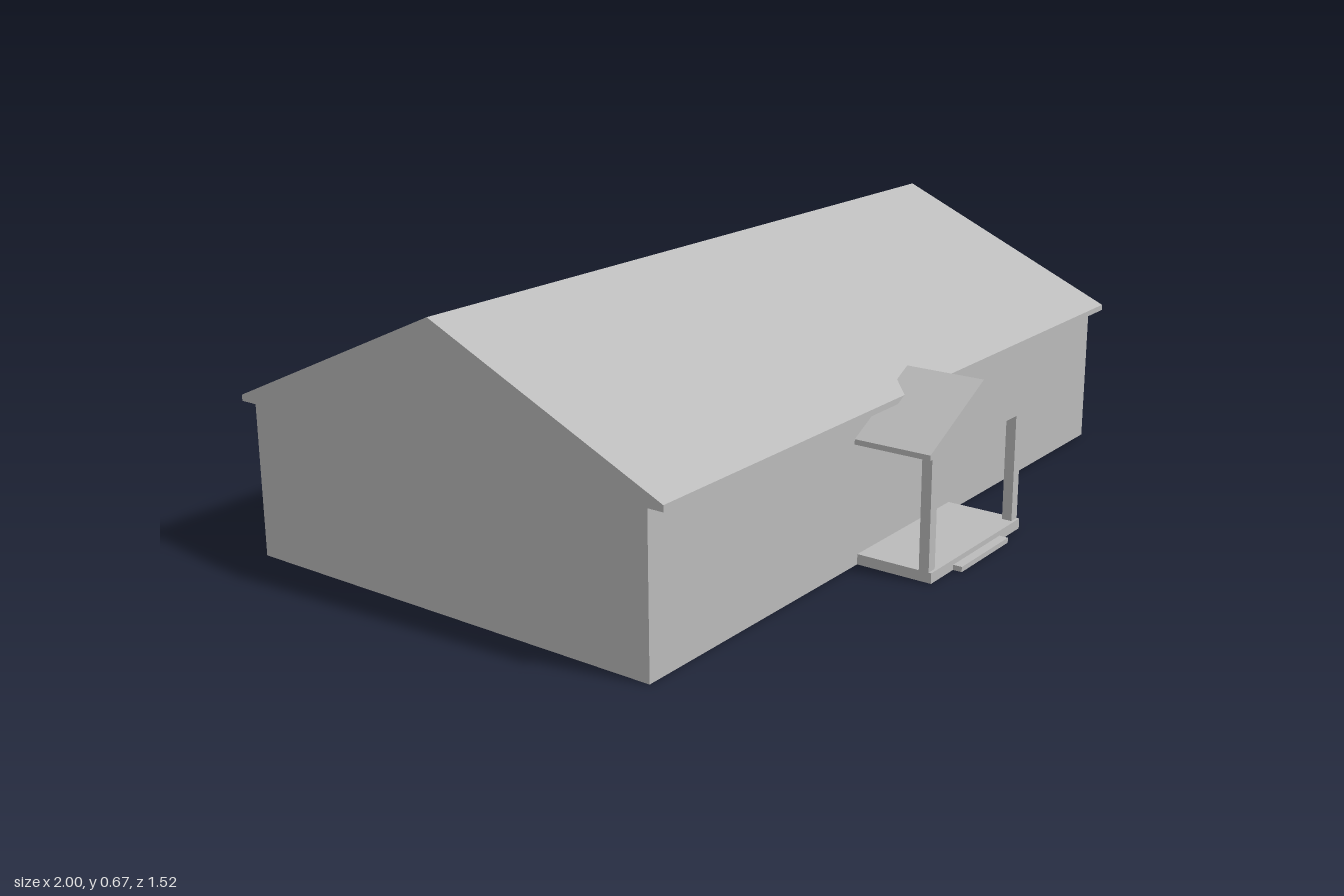
import * as THREE from 'three';

const grey = new THREE.MeshStandardMaterial({ color: 0xbbbbbb, side: THREE.DoubleSide });
grey.name = 'plain grey';

const shapeOf = pts => new THREE.Shape(pts.map(([x, y]) => new THREE.Vector2(x, y)));

// Folded sheet: an outline in x/y swept from z0 to z1, with flat facets
function fold(pts, z0, z1) {
  const pos = [];
  for (let i = 0; i < pts.length - 1; i++) {
    const [ax, ay] = pts[i], [bx, by] = pts[i + 1];
    pos.push(ax, ay, z0, ax, ay, z1, bx, by, z1, ax, ay, z0, bx, by, z1, bx, by, z0);
  }
  const g = new THREE.BufferGeometry();
  g.setAttribute('position', new THREE.Float32BufferAttribute(pos, 3));
  g.computeVertexNormals();
  return g;
}

export function createModel() {
  const model = new THREE.Group();
  model.name = 'house';
  const add = (name, geometry, parent = model) => {
    const mesh = new THREE.Mesh(geometry, grey);
    mesh.name = name;
    parent.add(mesh);
    return mesh;
  };
  const box = (name, x0, x1, y0, y1, z0, z1, parent) =>
    add(name, new THREE.BoxGeometry(x1 - x0, y1 - y0, z1 - z0), parent)
      .position.set((x0 + x1) / 2, (y0 + y1) / 2, (z0 + z1) / 2);

  const front = 0.536, back = -0.63, eave = 0.377;

  // Main roof with soffits and fascias, outlined in z/y
  const roof = [[front, eave], [0.576, eave], [0.576, 0.392], [-0.05, 0.673],
    [-0.677, 0.392], [-0.677, eave], [back, eave]];
  add('mainRoof', fold(roof, -1, 1).rotateY(-Math.PI / 2));

  // Gable ends
  for (const [name, x] of [['leftGable', 1], ['rightGable', -1]]) {
    const g = new THREE.ShapeGeometry(shapeOf([[front, 0], ...roof, [back, 0]]));
    add(name, g.rotateY(-Math.PI / 2).translate(x, 0, 0));
  }

  // Long walls, the front one open behind the porch roof; no floor
  const wall = [[-1, 0], [1, 0], [1, eave], [-1, eave]];
  const frontShape = shapeOf(wall);
  frontShape.holes.push(shapeOf([[-0.238, 0.317], [-0.13, 0.372], [0.13, 0.372], [0.238, 0.317]]));
  add('frontWall', new THREE.ShapeGeometry(frontShape).translate(0, 0, front));
  add('backWall', new THREE.ShapeGeometry(shapeOf(wall)).rotateY(Math.PI).translate(0, 0, back));

  // Porch: slab, step, posts and small gabled roof
  const porch = new THREE.Group();
  porch.name = 'porch';
  model.add(porch);
  box('porchFloor', -0.218, 0.218, 0, 0.026, front, 0.735, porch);
  box('porchStep', -0.115, 0.115, 0, 0.013, 0.735, 0.758, porch);
  for (const s of [-1, 1]) {
    const x = s * 0.204;
    box(s > 0 ? 'leftPost' : 'rightPost', x - 0.014, x + 0.014, 0.026, 0.303, 0.702, 0.728, porch);
  }
  const cap = [[-0.24, 0.303], [-0.24, 0.316], [0, 0.436], [0.24, 0.316], [0.24, 0.303]];
  add('porchRoof', fold([...cap, cap[0]], 0.53, 0.735), porch);
  add('porchGable', new THREE.ShapeGeometry(shapeOf(cap)).translate(0, 0, 0.735), porch);

  // Back door steps
  box('backLanding', -0.815, -0.688, 0, 0.026, -0.735, back);
  box('backStep', -0.807, -0.696, 0, 0.013, -0.758, -0.735);

  return model;
}
